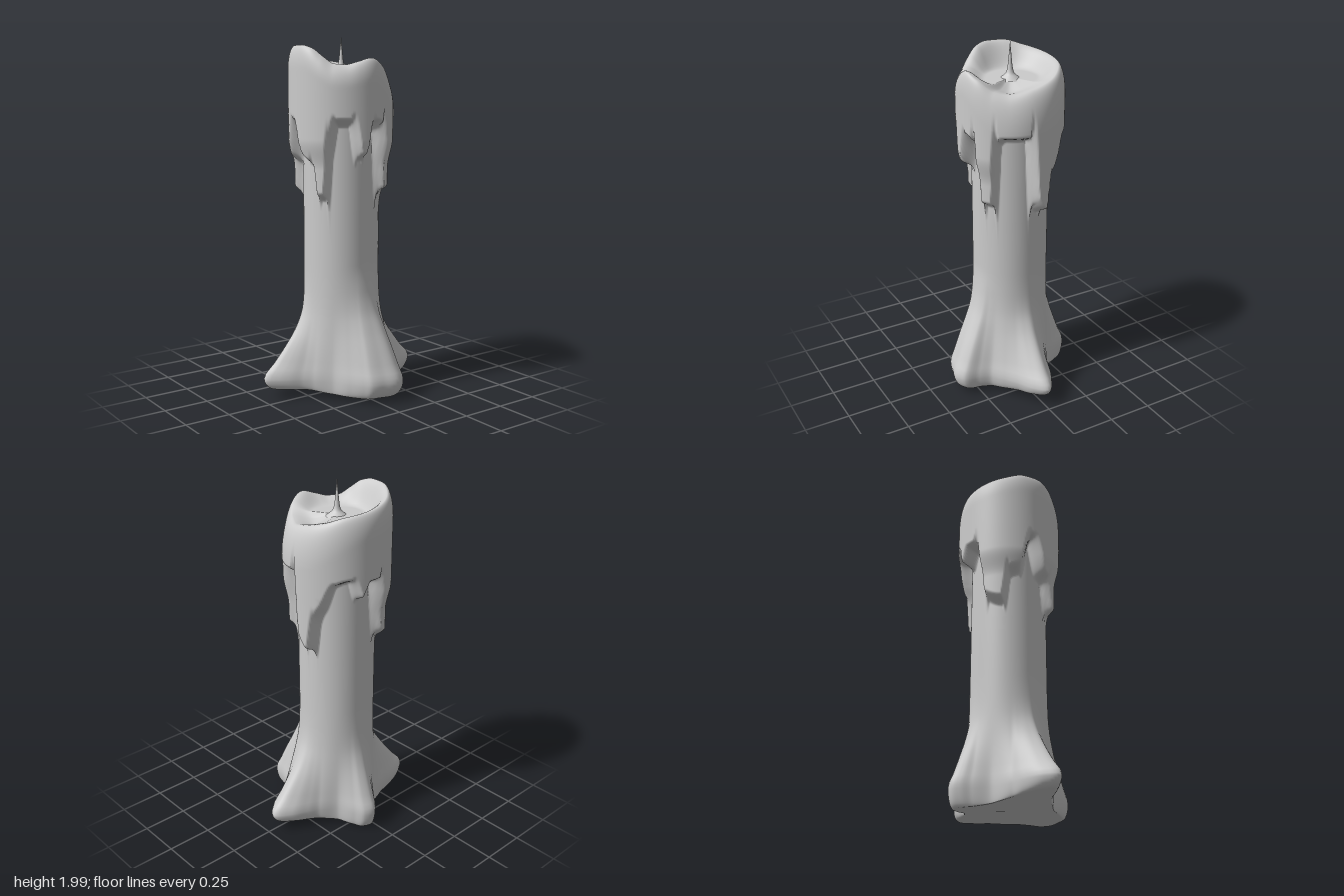
import * as THREE from 'three';

const AXIS_X = -0.03, COLUMN = 0.21, WAX = 0.292, SEGMENTS = 240;
const { smoothstep, lerp, clamp } = THREE.MathUtils;

// Smooth curve through [x, y] keys that never overshoots them
function curve(keys) {
  const slope = i => (keys[i + 1][1] - keys[i][1]) / (keys[i + 1][0] - keys[i][0]);
  const tangent = i => {
    if (i === 0 || i === keys.length - 1) return 0;
    const a = slope(i - 1), b = slope(i);
    return a * b > 0 ? 2 * a * b / (a + b) : 0;
  };
  return x => {
    if (x <= keys[0][0]) return keys[0][1];
    if (x >= keys[keys.length - 1][0]) return keys[keys.length - 1][1];
    const i = keys.findIndex(k => k[0] > x) - 1;
    const h = keys[i + 1][0] - keys[i][0], t = (x - keys[i][0]) / h, u = 1 - t;
    return keys[i][1] * (1 + 2 * t) * u * u + keys[i + 1][1] * t * t * (3 - 2 * t)
      + h * (tangent(i) * t * u * u - tangent(i + 1) * t * t * u);
  };
}

// The same for a closed loop of degrees (0 = front, 90 = +x)
function loop(keys) {
  const shift = d => keys.map(([a, v]) => [a + d, v]);
  const f = curve([...shift(-360), ...keys, ...shift(360)]);
  return a => f(((a % 360) + 360) % 360);
}

// Outline of the spread foot: four uneven lobes
const foot = loop([
  [2, 0.375], [9.5, 0.305], [20, 0.265], [42, 0.24], [63, 0.29], [76, 0.345], [81, 0.37],
  [92, 0.39], [104, 0.42], [111, 0.41], [119, 0.342], [131, 0.3], [145, 0.316], [158, 0.355],
  [169, 0.43], [178, 0.475], [187, 0.403], [196, 0.32], [206, 0.265], [228, 0.23], [248, 0.29],
  [256, 0.335], [265, 0.347], [272, 0.32], [279, 0.28], [300, 0.23], [324, 0.285], [332, 0.34],
  [344, 0.437], [352, 0.478], [358, 0.42],
]);
const footSpread = curve([[0.12, 1], [0.2, 0.85], [0.3, 0.64], [0.4, 0.41], [0.5, 0.2], [0.6, 0.08], [0.75, 0]]);
const footBottom = loop([[0, 0.055], [45, 0.035], [90, 0.03], [135, 0.035], [180, 0.055], [225, 0.03], [265, 0.008], [310, 0.03]]);
const footSharpness = loop([[0, 1.7], [45, 1.3], [92, 1], [135, 1.3], [180, 1.7], [265, 1.5]]);

// Lower edge of the melted wax
const dripEdge = loop([
  [5, 1.34], [16, 1.3], [25, 1.13], [33, 1.13], [42, 1.42], [50, 1.53], [66, 1.53], [78, 1.35],
  [84, 1.35], [96, 1.53], [106, 1.5], [115, 1.16], [128, 1.16], [137, 1.52], [145, 1.54],
  [173, 1.54], [182, 1.18], [194, 1.12], [203, 1.3], [212, 1.38], [226, 1.5], [243, 1.52],
  [255, 1.42], [268, 1.5], [278, 1.5], [290, 1.18], [312, 1.14], [322, 1.31], [335, 1.34], [349, 1.53],
]);

// Wavy rim, how far its crest leans in, and how tall its shoulder is
const rim = loop([
  [0, 1.94], [15, 1.925], [30, 1.88], [45, 1.84], [60, 1.835], [75, 1.85], [92, 1.87], [110, 1.84],
  [130, 1.785], [150, 1.77], [180, 1.79], [210, 1.82], [235, 1.855], [270, 1.88], [315, 1.915], [340, 1.94],
]);
const rimLean = loop([[0, 0.035], [55, 0.065], [95, 0.03], [150, 0.075], [180, 0.07], [225, 0.045], [270, 0.035]]);
const shoulder = loop([[0, 0.12], [90, 0.12], [150, 0.22], [190, 0.22], [270, 0.12]]);

// Radius of the outside at angle a (degrees) and height y
function outerRadius(a, y) {
  if (y < 0.75) {
    let w = Math.pow(footSpread(y), footSharpness(a));
    if (y < 0.12) {
      const t = clamp((0.12 - y) / (0.12 - footBottom(a)), 0, 1);
      w = 0.72 + 0.28 * Math.sqrt(1 - t * t);
    }
    return lerp(COLUMN, foot(a), w);
  }
  // Signed distance to the drip edge keeps the step equally wide along its steep sides
  const steep = (dripEdge(a + 1) - dripEdge(a - 1)) / (2 * WAX * Math.PI / 180);
  const distance = (y - dripEdge(a)) / Math.sqrt(1 + steep * steep);
  const back = smoothstep(Math.cos((a - 185) * Math.PI / 180), 0.7, 0.95);
  const thickness = (WAX - COLUMN) * lerp(0.68, 1, Math.max(back, smoothstep(y, 1.28, 1.44)));
  const s = clamp(1 - (rim(a) - y) / shoulder(a), 0, 1);
  return COLUMN + thickness * smoothstep(distance, -0.028, 0.028)
    - rimLean(a) * (1 - Math.sqrt(1 - s * s));
}

// Rows of the skin: each maps an angle to [radius, height]
function candleRows() {
  const rows = [];
  const outside = height => rows.push(a => { const y = height(a); return [outerRadius(a, y), y]; });
  // Underside
  for (let i = 0; i < 10; i++) {
    const s = i / 10;
    rows.push(a => [s * outerRadius(a, footBottom(a)), lerp(0.035, footBottom(a), s)]);
  }
  // Rounded edge of the foot
  for (let i = 0; i < 10; i++) outside(a => lerp(footBottom(a), 0.12, (i / 10) ** 2));
  // Foot, column, drips
  for (const [from, to, n] of [[0.12, 0.75, 26], [0.75, 1.05, 4], [1.05, 1.6, 75]]) {
    for (let i = 0; i < n; i++) outside(() => lerp(from, to, i / n));
  }
  // Upper wax to the crest of the rim
  for (let i = 0; i <= 22; i++) outside(a => lerp(1.6, rim(a), 1 - (1 - i / 22) ** 2));
  // Melted hollow
  for (let i = 1; i <= 24; i++) {
    const k = i / 24;
    rows.push(a => {
      const top = rim(a), floor = Math.min(1.8, top - 0.015);
      const y = lerp(lerp(top, floor, smoothstep(k, 0, 0.42)), 1.8, smoothstep(k, 0.4, 1));
      return [outerRadius(a, top) * (1 - k), y];
    });
  }
  return rows;
}

function skin(rows) {
  const position = [], index = [];
  rows.forEach((row, i) => {
    for (let j = 0; j < SEGMENTS; j++) {
      const a = j / SEGMENTS * 360, rad = a * Math.PI / 180;
      const [r, y] = row(a);
      position.push(AXIS_X + r * Math.sin(rad), y, r * Math.cos(rad));
      if (i === rows.length - 1) continue;
      const p = i * SEGMENTS + j, q = i * SEGMENTS + (j + 1) % SEGMENTS;
      index.push(p, q, p + SEGMENTS, q, q + SEGMENTS, p + SEGMENTS);
    }
  });
  const geometry = new THREE.BufferGeometry();
  geometry.setAttribute('position', new THREE.Float32BufferAttribute(position, 3));
  geometry.setIndex(index);
  geometry.computeVertexNormals();
  return geometry;
}

export function createModel() {
  const group = new THREE.Group();
  group.name = 'candle';
  const material = new THREE.MeshStandardMaterial({ color: 0xcccccc });

  const body = new THREE.Mesh(skin(candleRows()), material);
  body.name = 'waxBody';

  // Wick: a thin spike flaring into the wax
  const profile = [[0.06, 1.79], [0.04, 1.806], [0.022, 1.825], [0.013, 1.86], [0.007, 1.92], [0, 2]]
    .map(([r, y]) => new THREE.Vector2(r, y));
  const wick = new THREE.Mesh(new THREE.LatheGeometry(new THREE.SplineCurve(profile).getPoints(24), 24), material);
  wick.name = 'wick';
  wick.position.set(AXIS_X, 0, 0);

  group.add(body, wick);
  return group;
}
